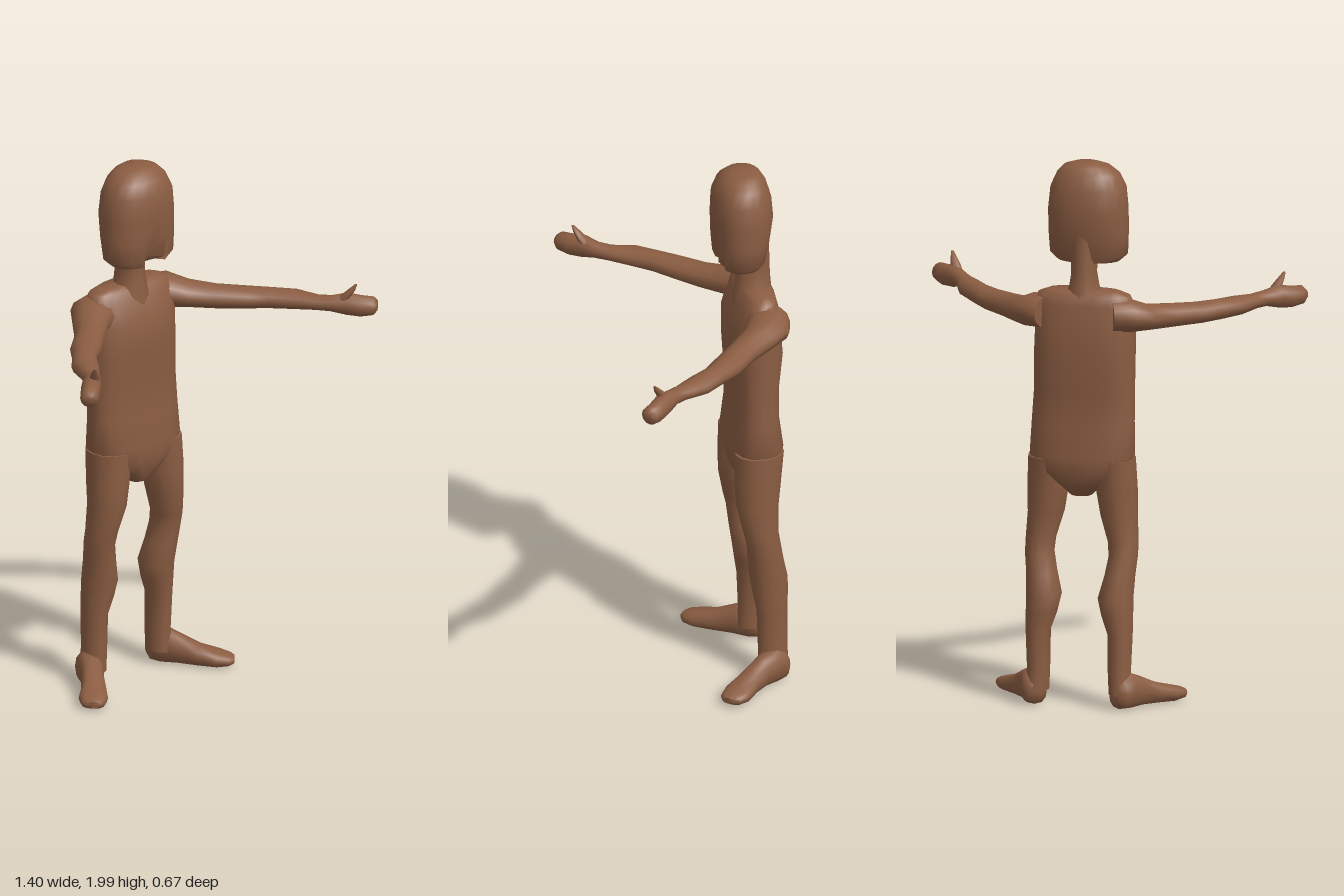
import * as THREE from 'three';
import { toCreasedNormals } from 'three/addons/utils/BufferGeometryUtils.js';

const skin = new THREE.MeshStandardMaterial({ color: 0x8b5d42 });
skin.name = 'brownSkin';

// Lofts rings [x, y, z, halfWidth, halfHeight] into a closed, softly creased skin.
// Upright lofts rise along y with rings in the xz plane; others follow the horizontal path.
function loft(name, rings, { upright = true, sides = 14, power = 1, shape } = {}) {
  const pos = [], index = [];
  const up = new THREE.Vector3(0, 1, 0);
  const soft = (t) => Math.sign(t) * Math.abs(t) ** power;
  rings.forEach(([x, y, z, a, b], i) => {
    let u = new THREE.Vector3(1, 0, 0), v = new THREE.Vector3(0, 0, -1);
    if (!upright) {
      const p = rings[Math.max(i - 1, 0)], q = rings[Math.min(i + 1, rings.length - 1)];
      const d = new THREE.Vector3(q[0] - p[0], 0, q[2] - p[2]).normalize();
      u = up.clone().cross(d);
      v = up;
    }
    for (let j = 0; j < sides; j++) {
      const t = (j / sides) * Math.PI * 2;
      const point = new THREE.Vector3(x, y, z)
        .addScaledVector(u, a * soft(Math.cos(t)))
        .addScaledVector(v, b * soft(Math.sin(t)));
      if (shape) shape(point, i);
      pos.push(point.x, point.y, point.z);
    }
  });
  const at = (i, j) => i * sides + (j % sides);
  const last = rings.length - 1, bottom = rings.length * sides, top = bottom + 1;
  pos.push(...rings[0].slice(0, 3), ...rings[last].slice(0, 3));
  for (let j = 0; j < sides; j++) {
    for (let i = 0; i < last; i++) {
      index.push(at(i, j), at(i, j + 1), at(i + 1, j + 1), at(i, j), at(i + 1, j + 1), at(i + 1, j));
    }
    index.push(bottom, at(0, j + 1), at(0, j), top, at(last, j), at(last, j + 1));
  }
  const geometry = new THREE.BufferGeometry();
  geometry.setAttribute('position', new THREE.Float32BufferAttribute(pos, 3));
  geometry.setIndex(index);
  const mesh = new THREE.Mesh(toCreasedNormals(geometry, 0.95), skin);
  mesh.name = name;
  return mesh;
}

export function createModel() {
  const group = new THREE.Group();
  group.name = 'figure';

  // Torso, from the crotch to the sloping shoulders
  group.add(loft('torso', [
    [0, 0.78, -0.225, 0.04, 0.05],
    [0, 0.82, -0.23, 0.08, 0.08],
    [0, 0.87, -0.235, 0.165, 0.095],
    [-0.002, 0.93, -0.234, 0.193, 0.1],
    [-0.005, 1.05, -0.234, 0.19, 0.083],
    [-0.01, 1.17, -0.235, 0.186, 0.085],
    [-0.012, 1.3, -0.238, 0.186, 0.097],
    [-0.014, 1.41, -0.234, 0.185, 0.092],
    [-0.014, 1.49, -0.245, 0.185, 0.072],
    [-0.014, 1.525, -0.25, 0.17, 0.058],
    [-0.014, 1.54, -0.25, 0.13, 0.045],
  ], { sides: 18, power: 0.75 }));

  // Neck, flaring into the shoulders
  group.add(loft('neck', [
    [-0.01, 1.47, -0.24, 0.085, 0.075],
    [-0.01, 1.55, -0.24, 0.055, 0.066],
    [-0.01, 1.6, -0.24, 0.046, 0.063],
    [-0.01, 1.74, -0.235, 0.05, 0.065],
  ], { sides: 12 }));

  // Head with a bobbed outline; the lower front is parted inward
  group.add(loft('head', [
    [-0.015, 1.655, -0.195, 0.075, 0.05],
    [-0.015, 1.64, -0.19, 0.115, 0.08],
    [-0.015, 1.665, -0.19, 0.143, 0.09],
    [-0.015, 1.74, -0.195, 0.146, 0.102],
    [-0.015, 1.83, -0.2, 0.146, 0.11],
    [-0.015, 1.91, -0.198, 0.138, 0.105],
    [-0.015, 1.96, -0.2, 0.115, 0.088],
    [-0.012, 1.988, -0.205, 0.085, 0.066],
    [-0.01, 2.0, -0.21, 0.045, 0.045],
  ], {
    sides: 20, power: 0.9,
    shape: (p, i) => {
      if (i < 4 && p.z > -0.15 && Math.abs(p.x + 0.01) < 0.035) p.z -= [0.02, 0.05, 0.045, 0.015][i];
    },
  }));

  for (const [side, s] of [['left', 1], ['right', -1]]) {
    const mirror = (rings) => rings.map(([x, ...rest]) => [s * x, ...rest]);

    // Leg: thigh, narrow knee, full calf and ankle
    group.add(loft(side + 'Leg', mirror([
      [0.157, 0.06, -0.275, 0.045, 0.055],
      [0.15, 0.14, -0.275, 0.041, 0.054],
      [0.152, 0.28, -0.272, 0.045, 0.056],
      [0.14, 0.35, -0.268, 0.058, 0.064],
      [0.133, 0.41, -0.264, 0.065, 0.069],
      [0.145, 0.49, -0.25, 0.056, 0.065],
      [0.155, 0.56, -0.24, 0.053, 0.062],
      [0.153, 0.61, -0.23, 0.055, 0.064],
      [0.135, 0.71, -0.222, 0.067, 0.077],
      [0.128, 0.8, -0.225, 0.075, 0.084],
      [0.12, 0.92, -0.232, 0.077, 0.09],
    ])));

    // Foot, turned outward
    group.add(loft(side + 'Foot', mirror([
      [0.148, 0.06, -0.325, 0.025, 0.03],
      [0.156, 0.066, -0.307, 0.045, 0.056],
      [0.173, 0.073, -0.27, 0.05, 0.067],
      [0.205, 0.063, -0.22, 0.041, 0.055],
      [0.25, 0.045, -0.16, 0.045, 0.038],
      [0.295, 0.035, -0.11, 0.053, 0.029],
      [0.323, 0.032, -0.078, 0.043, 0.02],
      [0.335, 0.032, -0.067, 0.025, 0.012],
    ]), { upright: false, sides: 12, power: 0.8 }));

    // Arm, swept forward from the shoulder to the flat hand
    group.add(loft(side + 'Arm', mirror([
      [0.12, 1.455, -0.275, 0.07, 0.06],
      [0.175, 1.455, -0.25, 0.085, 0.062],
      [0.23, 1.44, -0.2, 0.066, 0.048],
      [0.3, 1.433, -0.125, 0.055, 0.043],
      [0.385, 1.43, -0.048, 0.056, 0.038],
      [0.44, 1.431, 0.01, 0.045, 0.037],
      [0.495, 1.433, 0.08, 0.05, 0.034],
      [0.535, 1.433, 0.155, 0.035, 0.027],
      [0.565, 1.435, 0.2, 0.032, 0.029],
      [0.605, 1.435, 0.24, 0.036, 0.042],
      [0.64, 1.428, 0.275, 0.035, 0.04],
      [0.672, 1.43, 0.308, 0.033, 0.034],
      [0.682, 1.432, 0.318, 0.022, 0.018],
    ]), { upright: false, sides: 12 }));

    // Thumb, pointing up from the hand
    group.add(loft(side + 'Thumb', mirror([
      [0.585, 1.43, 0.225, 0.024, 0.024],
      [0.595, 1.47, 0.245, 0.02, 0.02],
      [0.607, 1.495, 0.262, 0.013, 0.014],
      [0.616, 1.517, 0.275, 0.005, 0.005],
    ]), { sides: 8 }));
  }
  return group;
}
